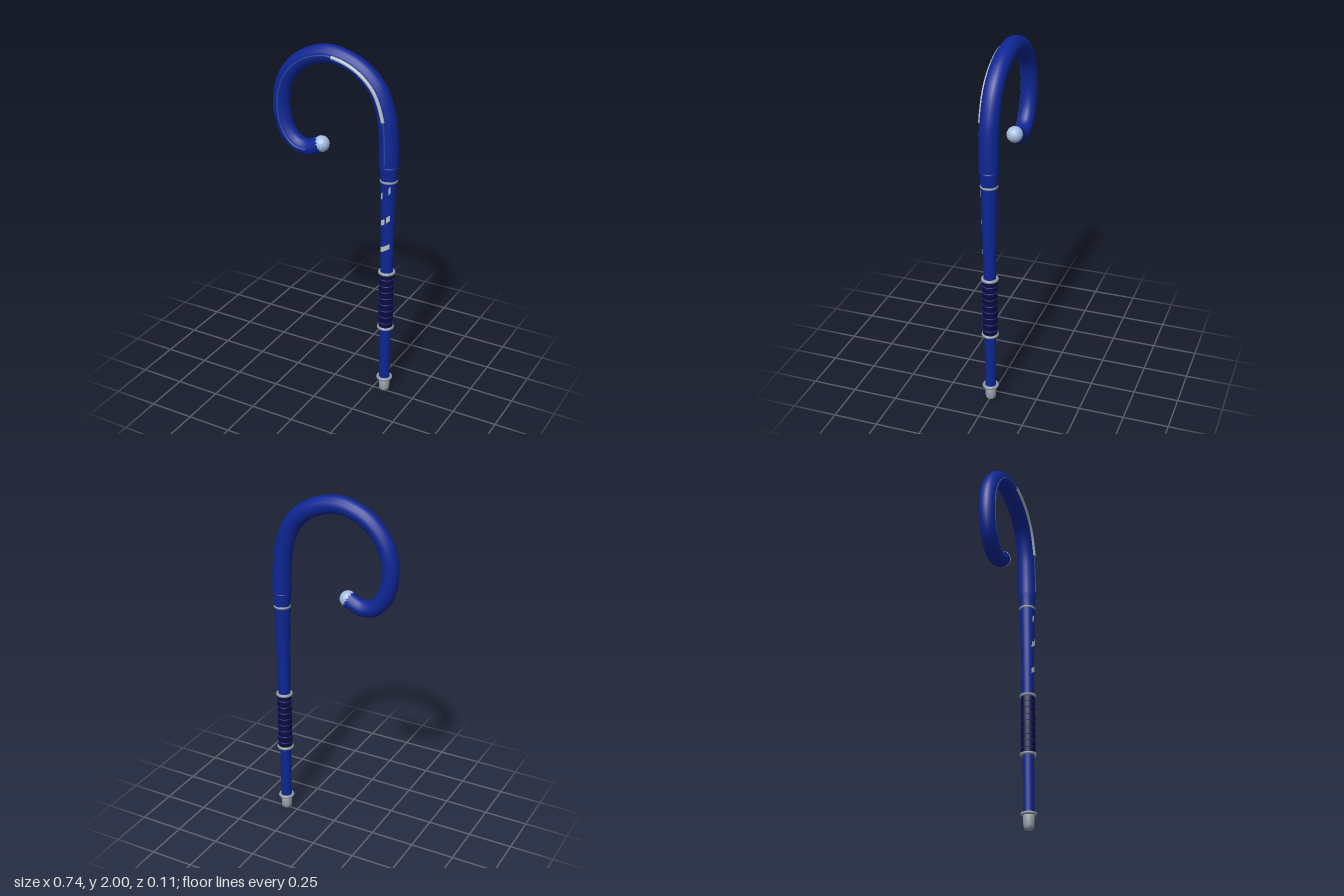
import * as THREE from 'three';

const SX = 0.318, SZ = -0.004; // shaft axis

const mat = (name, color, side = THREE.FrontSide) => {
  const m = new THREE.MeshStandardMaterial({ color, side });
  m.name = name;
  return m;
};

// Hook centreline, from the shaft round to the tip
const hookPath = new THREE.CatmullRomCurve3([
  [0.318, 1.40], [0.314, 1.53], [0.297, 1.67], [0.24, 1.81], [0.13, 1.905], [-0.02, 1.948],
  [-0.13, 1.927], [-0.225, 1.87], [-0.302, 1.765], [-0.328, 1.63], [-0.302, 1.50],
  [-0.245, 1.425], [-0.17, 1.404], [-0.085, 1.44],
].map(([x, y]) => new THREE.Vector3(x, y, SZ)));
const hookRadius = (t) => 0.053 - 0.008 * t;

// Shaft profile as radius and height
const profile = [[0.03, 0.07], [0.032, 0.42], [0.034, 0.78], [0.038, 1.05], [0.044, 1.31], [0.048, 1.39]];
const shaftRadius = (y) => {
  let i = 0;
  while (i < profile.length - 2 && y > profile[i + 1][1]) i++;
  const [r0, y0] = profile[i], [r1, y1] = profile[i + 1];
  return r0 + (r1 - r0) * (y - y0) / (y1 - y0);
};

// Tube whose radius follows the hook taper
function taperedHook() {
  const n = 72, sides = 14;
  const geo = new THREE.TubeGeometry(hookPath, n, 1, sides);
  const pos = geo.attributes.position, v = new THREE.Vector3();
  for (let i = 0; i <= n; i++) {
    const c = hookPath.getPointAt(i / n);
    for (let j = 0; j <= sides; j++) {
      const k = i * (sides + 1) + j;
      v.fromBufferAttribute(pos, k).sub(c).multiplyScalar(hookRadius(i / n)).add(c);
      pos.setXYZ(k, v.x, v.y, v.z);
    }
  }
  return geo;
}

// Thin bead running along the front of the hook between two fractions
function frontBead(t0, t1, r, lift) {
  const pts = [];
  for (let i = 0; i <= 30; i++) {
    const t = t0 + (t1 - t0) * i / 30, p = hookPath.getPointAt(t);
    p.z += hookRadius(t) + lift;
    pts.push(p);
  }
  return new THREE.TubeGeometry(new THREE.CatmullRomCurve3(pts), 60, r, 8);
}

// Slanted patch wrapped on the front of the shaft
function wrapPatch(x0, x1, y0, y1, h) {
  const geo = new THREE.PlaneGeometry(1, 1, 6, 1);
  const pos = geo.attributes.position;
  for (let i = 0; i < pos.count; i++) {
    const u = pos.getX(i) + 0.5;
    const x = x0 + (x1 - x0) * u - SX;
    const y = y0 + (y1 - y0) * u + pos.getY(i) * h;
    const r = shaftRadius(y) + 0.003;
    pos.setXYZ(i, SX + x, y, SZ + Math.sqrt(Math.max(0, r * r - x * x)));
  }
  geo.computeVertexNormals();
  return geo;
}

export function createModel() {
  const group = new THREE.Group();
  const blue = mat('royal blue', 0x0d2694);
  const seamBlue = mat('seam blue', 0x23459f);
  const navy = mat('dark navy', 0x0b0b3d);
  const metal = mat('grey metal', 0x909ba4);
  const silver = mat('pale silver', 0xb4c2cc, THREE.DoubleSide);
  const pearl = mat('pale blue', 0xa6bee2);

  const add = (name, geo, material, x = 0, y = 0, z = 0) => {
    const m = new THREE.Mesh(geo, material);
    m.name = name;
    m.position.set(x, y, z);
    group.add(m);
    return m;
  };
  const lathe = (pts, sides = 20) =>
    new THREE.LatheGeometry(pts.map(([r, y]) => new THREE.Vector2(r, y)), sides);
  const ring = (name, y, R, r, material) => {
    add(name, new THREE.TorusGeometry(R, r, 8, 24), material, SX, y, SZ).rotation.x = Math.PI / 2;
  };

  // Shaft and hook
  add('shaft', lathe([...profile, [0.052, 1.40], [0.03, 1.42]]), blue, SX, 0, SZ);
  add('hook', taperedHook(), blue);
  const end = hookPath.getPointAt(1);
  add('hookTip', new THREE.SphereGeometry(0.045, 20, 14), pearl, end.x, end.y, end.z);

  // Beads along the front of the hook
  add('hookSeam', frontBead(0.01, 0.95, 0.005, -0.001), seamBlue);
  add('hookHighlight', frontBead(0.155, 0.435, 0.01, 0), silver);

  // Grip with fine ridges
  add('grip', lathe([[0.03, 0.425], [0.04, 0.43], [0.04, 0.765], [0.03, 0.77]]), navy, SX, 0, SZ);
  for (let i = 0; i < 8; i++) ring('gripRidge', 0.46 + i * 0.039, 0.0395, 0.0028, blue);

  // Metal bands
  for (const [y, R] of [[0.09, 0.037], [0.425, 0.039], [0.77, 0.039], [1.315, 0.039]])
    ring('band', y, R, 0.009, metal);

  // Rounded ferrule at the foot
  add('ferrule', lathe([[0, 0], [0.018, 0.002], [0.026, 0.01], [0.03, 0.025], [0.031, 0.09], [0, 0.09]]),
    metal, SX, 0, SZ);

  // Broken spiral inlay
  for (const p of [
    [0.295, 0.345, 0.915, 0.945, 0.03],
    [0.294, 0.318, 1.076, 1.090, 0.032],
    [0.327, 0.345, 1.098, 1.115, 0.034],
    [0.295, 0.306, 1.232, 1.246, 0.034],
    [0.339, 0.346, 1.268, 1.280, 0.04],
  ]) add('spiralInlay', wrapPatch(...p), silver);

  return group;
}
